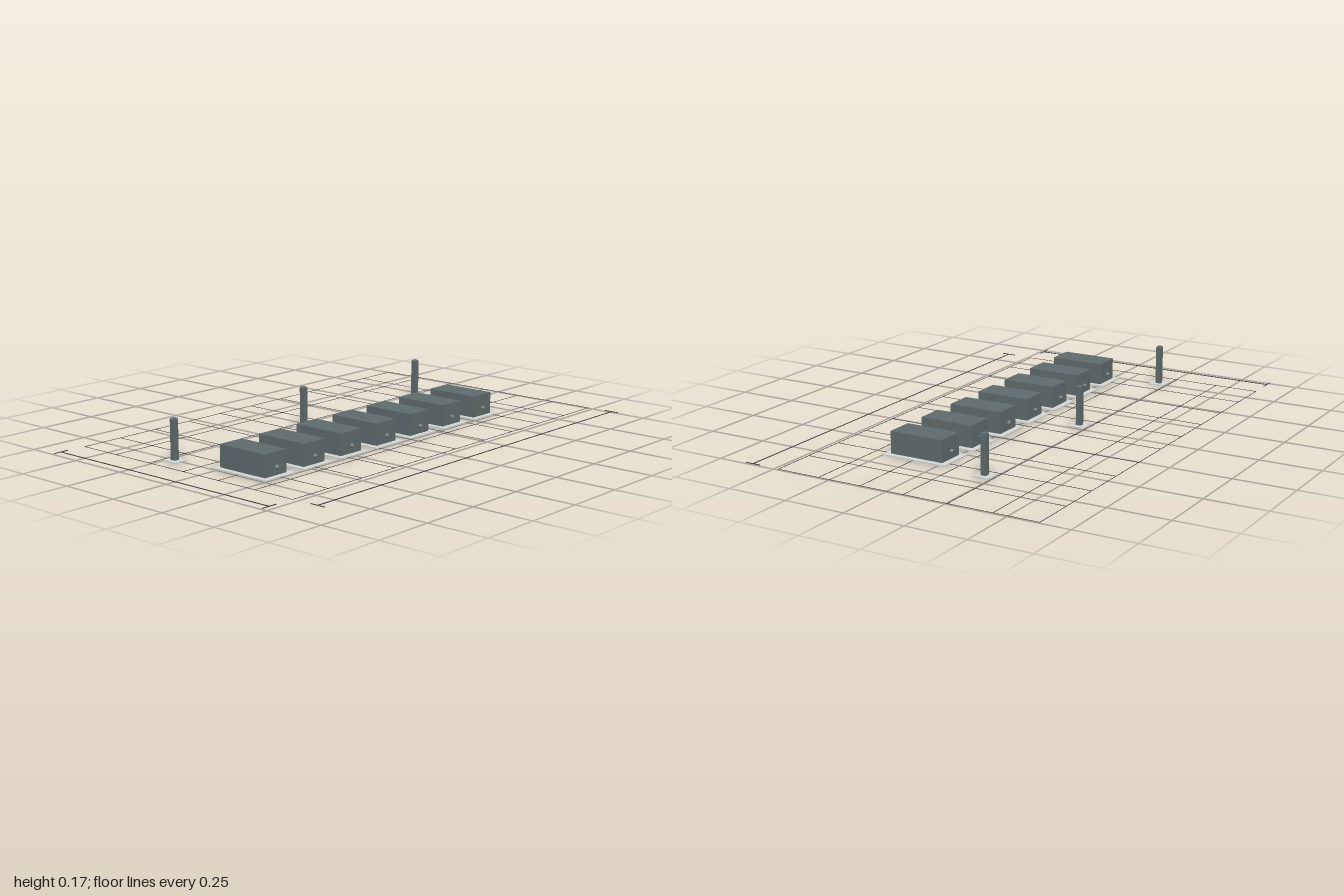
import * as THREE from 'three';

const material = (name, color) => {
  const m = new THREE.MeshStandardMaterial({ color });
  m.name = name;
  return m;
};

export function createModel() {
  const model = new THREE.Group();
  model.name = 'yardLayout';
  const steel = material('slate grey', 0x5f6b6d);
  const concrete = material('light grey', 0xd2d7d5);
  const fittingGrey = material('mid grey', 0x747f80);
  const lineGrey = material('line grey', 0x3f4243);

  const group = (name, x, z) => {
    const g = new THREE.Group();
    g.name = name;
    g.position.set(x, 0, z);
    model.add(g);
    return g;
  };
  // Box standing on height y
  const box = (parent, name, mat, [w, h, d], [x, y, z]) => {
    const mesh = new THREE.Mesh(new THREE.BoxGeometry(w, h, d), mat);
    mesh.name = name;
    mesh.position.set(x, y + h / 2, z);
    parent.add(mesh);
  };

  // Ground grid, ten cells by six
  const x0 = -0.848, x1 = 0.998, z0 = -0.628, z1 = 0.48;
  const midX = (x0 + x1) / 2, midZ = (z0 + z1) / 2, line = 0.0018;
  const gridH = 0.0015, gridY = 0.002;
  const grid = group('groundGrid', 0, 0);
  for (let i = 0; i <= 10; i++) {
    const x = x0 + ((x1 - x0) * i) / 10;
    box(grid, 'gridLine', lineGrey, [line, gridH, z1 - z0], [x, gridY, midZ]);
  }
  for (let i = 0; i <= 6; i++) {
    const z = z0 + ((z1 - z0) * i) / 6;
    box(grid, 'gridLine', lineGrey, [x1 - x0, gridH, line], [midX, gridY, z]);
  }

  // Dimension lines with end ticks, along the front and the right side
  const dims = group('dimensionLines', 0, 0);
  const dh = 0.003, dy = 0.003;
  box(dims, 'widthLine', lineGrey, [x1 - x0, dh, line], [midX, dy, 0.597]);
  box(dims, 'depthLine', lineGrey, [line, dh, z1 - z0], [-0.966, dy, midZ]);
  for (const x of [x0, x1]) box(dims, 'widthTick', lineGrey, [line, dh, 0.064], [x, dy, 0.597]);
  for (const z of [z0, z1]) box(dims, 'depthTick', lineGrey, [0.068, dh, line], [-0.966, dy, z]);

  // Row of seven cabinets on pads, with a rounded fitting on each end
  const depth = 0.23;
  const fitting = new THREE.SphereGeometry(0.0085, 16, 12);
  for (let i = -3; i <= 3; i++) {
    const cabinet = group('cabinet', -0.0405 + 0.208 * i, 0.109);
    box(cabinet, 'pad', concrete, [0.16, 0.005, 0.277], [0, 0, 0]);
    box(cabinet, 'cabinetBody', steel, [0.115, 0.089, depth], [0, 0.005, 0]);
    for (const s of [-1, 1]) {
      const knob = new THREE.Mesh(fitting, fittingGrey);
      knob.name = 'endFitting';
      knob.position.set(0, 0.037, s * (depth / 2 + 0.005));
      cabinet.add(knob);
    }
  }

  // Three posts with rounded tops on square pads
  const profile = [[0.0156, 0], [0.0141, 0.004], [0.0095, 0.007], [0, 0.0085]];
  const capShape = new THREE.LatheGeometry(profile.map(([r, y]) => new THREE.Vector2(r, y)), 4)
    .rotateY(Math.PI / 4).toNonIndexed();
  capShape.computeVertexNormals();
  for (let i = -1; i <= 1; i++) {
    const post = group('post', -0.041 + 0.717 * i, -0.213);
    box(post, 'pad', concrete, [0.064, 0.005, 0.069], [0, 0, 0]);
    box(post, 'postShaft', steel, [0.022, 0.157, 0.022], [0, 0.005, 0]);
    const cap = new THREE.Mesh(capShape, steel);
    cap.name = 'postCap';
    cap.position.y = 0.162;
    post.add(cap);
  }
  return model;
}
